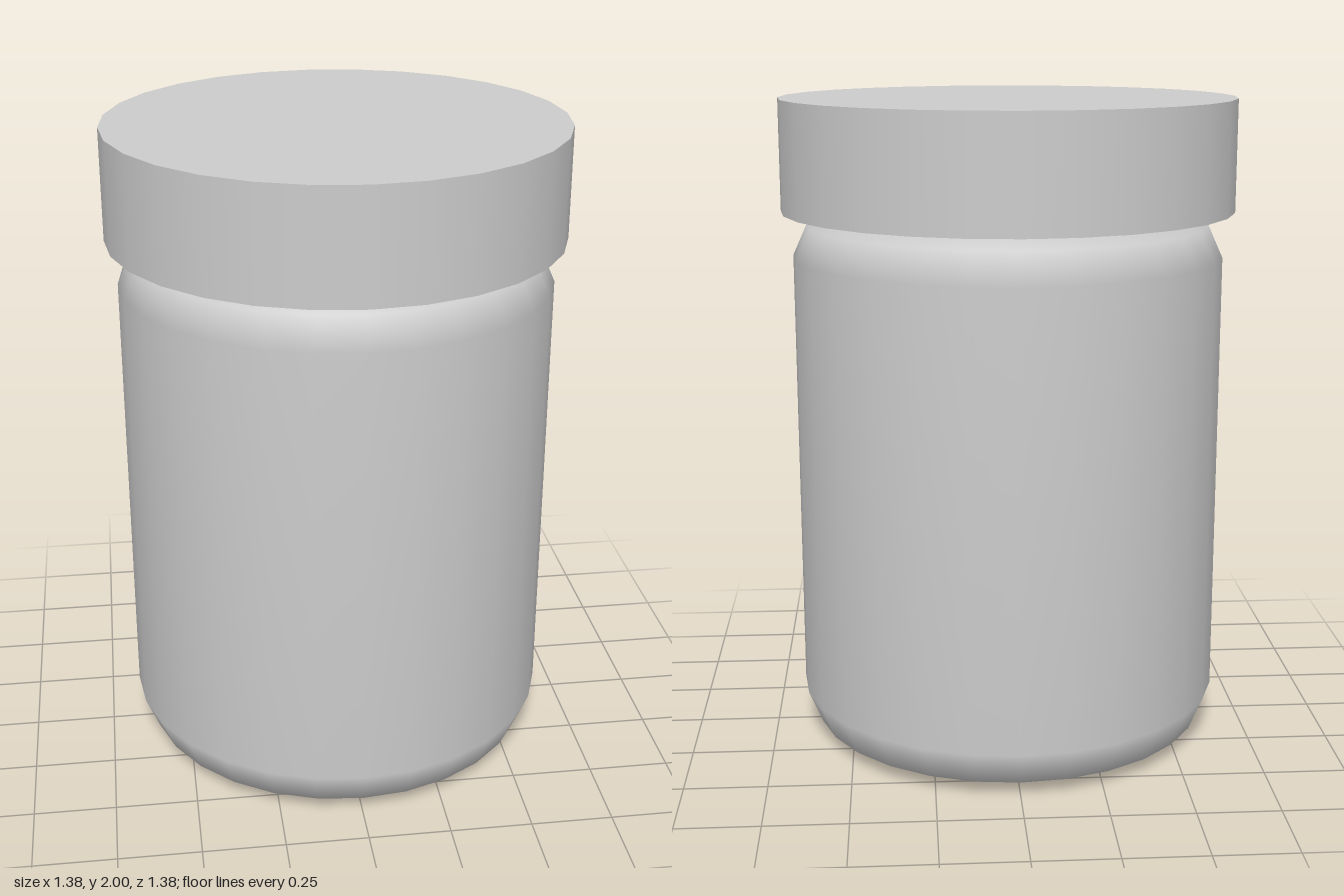
import * as THREE from 'three';

const SIDES = 28;

export function createModel() {
  const group = new THREE.Group();
  group.name = 'jar';
  const material = new THREE.MeshStandardMaterial({ color: 0xcccccc });

  // Smooth body with bevelled shoulder and base, closed at both ends
  const profile = [
    [0, 0], [0.51, 0], [0.615, 0.046], [0.658, 0.15],
    [0.658, 1.525], [0.615, 1.62], [0.51, 1.665], [0, 1.665],
  ].map(([r, y]) => new THREE.Vector2(r, y));
  const body = new THREE.Mesh(new THREE.LatheGeometry(profile, SIDES), material);
  body.name = 'body';
  group.add(body);

  // Wide flat lid with sharp rims
  const bottom = 1.662, top = 2;
  const lid = new THREE.Mesh(new THREE.CylinderGeometry(0.692, 0.692, top - bottom, SIDES), material);
  lid.position.y = (top + bottom) / 2;
  lid.name = 'lid';
  group.add(lid);

  return group;
}
